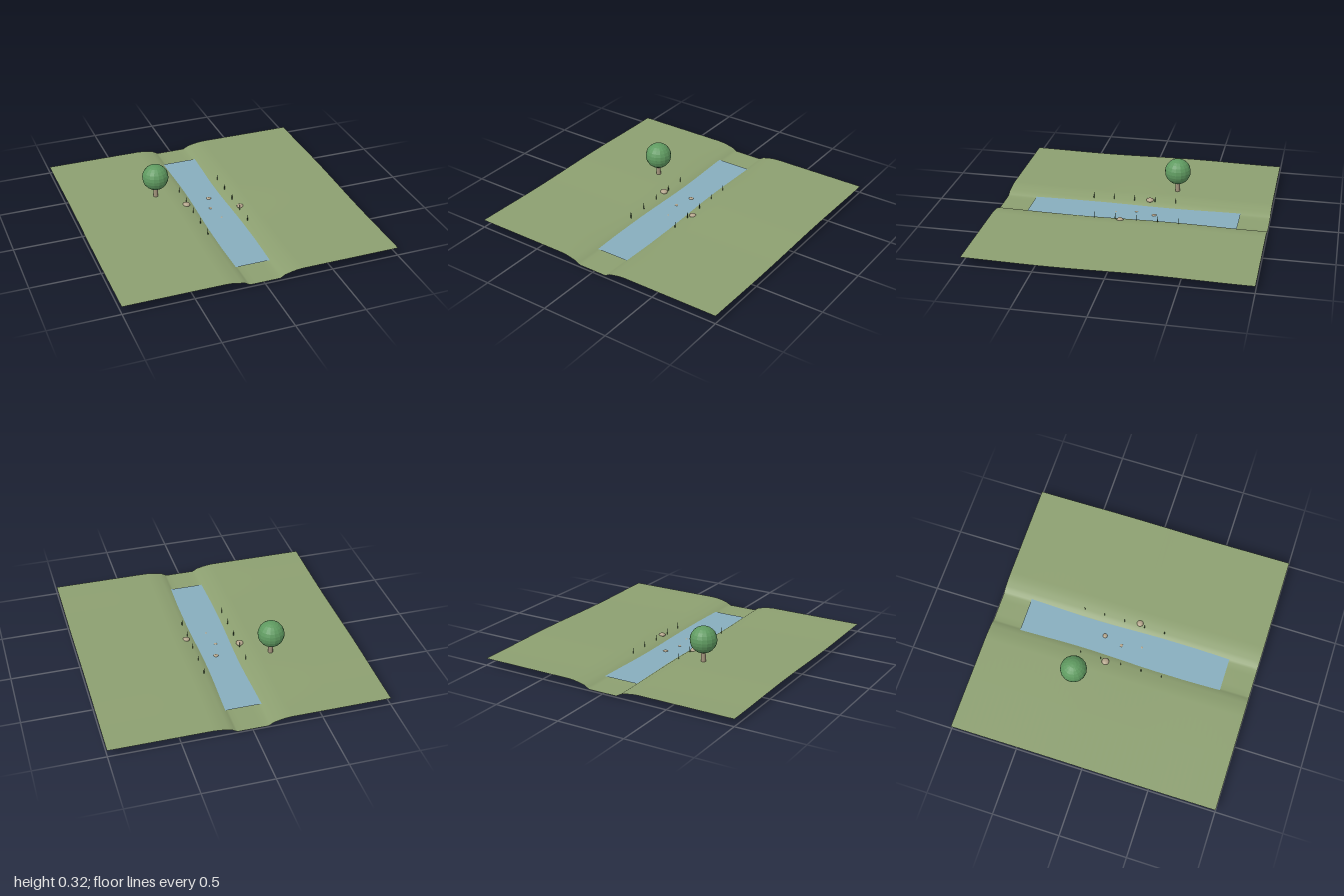
import * as THREE from 'three';

const material = (name, color, side = THREE.FrontSide) => {
  const m = new THREE.MeshStandardMaterial({ color, side });
  m.name = name;
  return m;
};

// Half of the valley profile: distance from the stream, height
const PROFILE = [[0, 0.013], [0.06, 0.013], [0.108, 0.013], [0.125, 0.0215], [0.145, 0.034],
  [0.17, 0.04], [0.2, 0.047], [0.235, 0.053], [0.28, 0.056], [0.6, 0.056], [1, 0.056]];

// Gentle rise and fall of the land along the stream
const swell = (z) => 0.004 * Math.cos((2 * Math.PI * (z + 0.28)) / 1.35);

function createTerrainGeometry() {
  const half = PROFILE.length - 1;
  const geometry = new THREE.PlaneGeometry(2, 2, half * 2, 48).rotateX(-Math.PI / 2);
  const p = geometry.attributes.position;
  for (let i = 0; i < p.count; i++) {
    const column = (i % (half * 2 + 1)) - half;
    const [x, y] = PROFILE[Math.abs(column)];
    p.setXYZ(i, Math.sign(column) * x, y + swell(p.getZ(i)), p.getZ(i));
  }
  geometry.computeVertexNormals();
  return geometry;
}

export function createModel() {
  const model = new THREE.Group();
  model.name = 'streamLandscape';

  const grass = material('grass', 0x8c9f70, THREE.DoubleSide);
  const water = material('water', 0x86adbd, THREE.DoubleSide);
  const sand = material('sand', 0xa8967c, THREE.DoubleSide);
  const stone = material('stone', 0xb3a48a);
  const bark = material('bark', 0xa3947c);
  const leaf = material('leaf', 0x5f9a60);
  const reedGreen = material('reedGreen', 0x3f5a3c);

  const add = (name, geometry, mat, x, y, z, parent = model) => {
    const mesh = new THREE.Mesh(geometry, mat);
    mesh.name = name;
    mesh.position.set(x, y, z);
    parent.add(mesh);
    return mesh;
  };

  add('terrain', createTerrainGeometry(), grass, 0, 0, 0);

  // Stream surface and the sandy bed beneath it
  const sheet = (w, l) => new THREE.PlaneGeometry(w, l).rotateX(-Math.PI / 2);
  add('water', sheet(0.264, 1.56), water, 0, 0.0225, 0);
  add('streamBed', sheet(0.18, 1.5), sand, 0, 0.0158, 0);

  // Tree with a faceted round crown
  const tree = new THREE.Group();
  tree.name = 'tree';
  tree.position.set(-0.36, 0, -0.27);
  model.add(tree);
  add('trunk', new THREE.CylinderGeometry(0.016, 0.018, 0.125, 10), bark, 0, 0.0875, 0, tree);
  const crown = new THREE.SphereGeometry(0.098, 16, 12).toNonIndexed();
  crown.computeVertexNormals();
  add('crown', crown, leaf, 0, 0.223, 0, tree);

  // Flattened stones on the banks and in the stream: x, y, z, radius, half height
  const stones = [
    [-0.18, 0.048, -0.09, 0.028, 0.016],
    [0.187, 0.046, 0.064, 0.025, 0.014],
    [0.021, 0.019, -0.158, 0.019, 0.012],
    [-0.015, 0.017, -0.018, 0.015, 0.01],
    [0.016, 0.0125, 0.132, 0.014, 0.0125],
  ];
  for (const [x, y, z, r, h] of stones) {
    add('stone', new THREE.SphereGeometry(r, 12, 8), stone, x, y, z).scale.y = h / r;
  }

  // Staggered reeds along both banks
  const reed = new THREE.CylinderGeometry(0.0018, 0.003, 0.05, 6);
  for (let i = 0; i < 10; i++) {
    const side = i % 2 ? -1 : 1;
    add('reed', reed, reedGreen, side * 0.168, 0.059, -0.365 + i * 0.0783);
  }

  return model;
}
